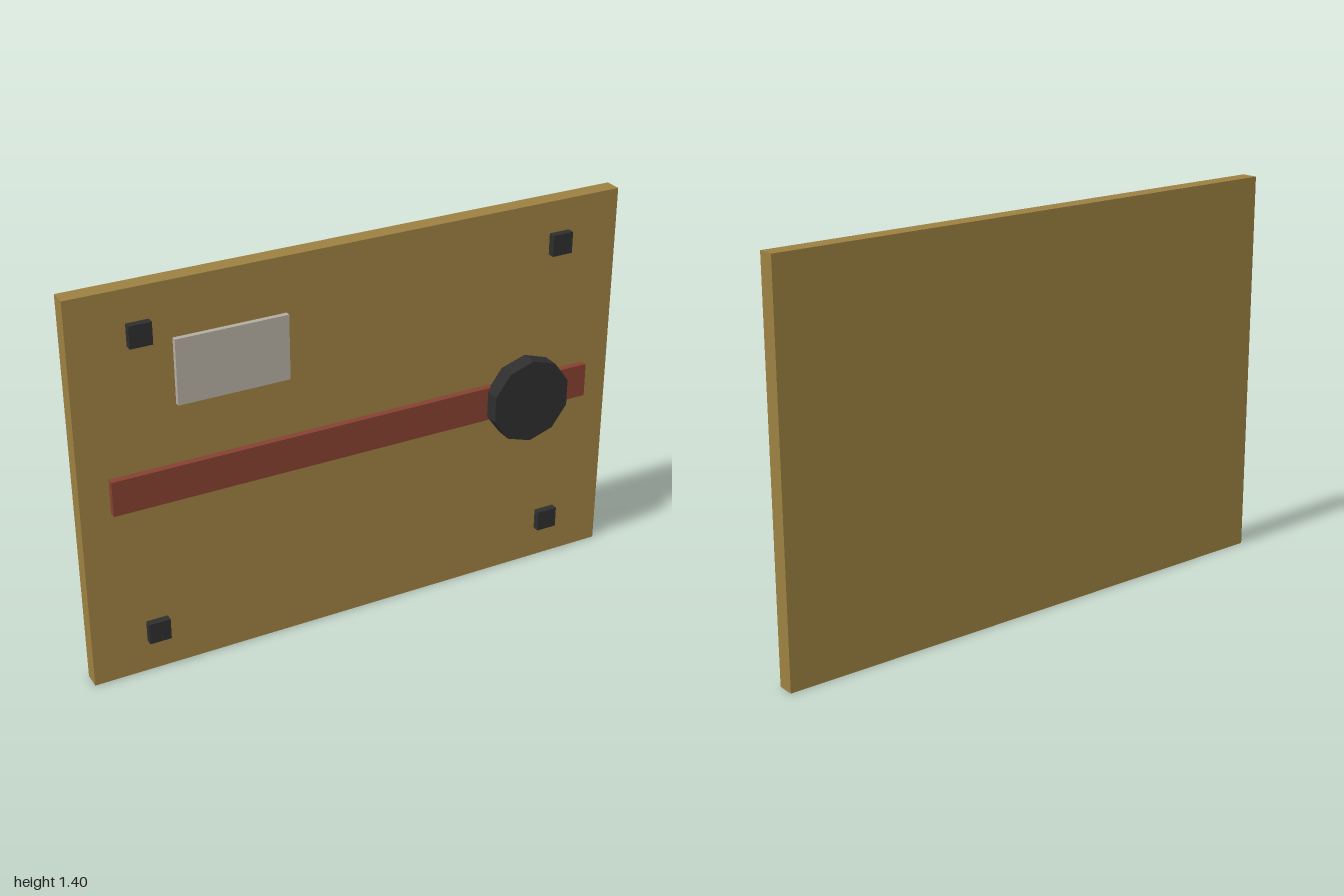
import * as THREE from 'three';

const material = (name, color, flatShading = false) => {
  const m = new THREE.MeshStandardMaterial({ color });
  m.name = name;
  m.flatShading = flatShading;
  return m;
};

export function createModel() {
  const group = new THREE.Group();
  group.name = 'wallPanel';

  const ochre = material('ochre', 0x9c8041);
  const rust = material('rust red', 0x86402f);
  const pale = material('pale grey', 0xb3aca0);
  const black = material('charcoal', 0x2e2e2e, true);

  const faceZ = -0.008; // front face of the board

  // Box given by its centre in x and y, its size, and its back and front in z
  const slab = (name, mat, x, y, w, h, back, front) => {
    const mesh = new THREE.Mesh(new THREE.BoxGeometry(w, h, front - back), mat);
    mesh.position.set(x, y, (back + front) / 2);
    mesh.name = name;
    group.add(mesh);
  };

  // Board
  slab('board', ochre, 0, 0.7025, 2, 1.405, -0.069, faceZ);

  // Horizontal rail and label plate
  slab('rail', rust, 0, 0.705, 1.794, 0.125, faceZ, 0.016);
  slab('labelPlate', pale, -0.459, 1.095, 0.392, 0.23, faceZ, 0.01);

  // Square bolts in the corners
  for (const x of [-0.767, 0.767])
    for (const y of [0.158, 1.252])
      slab('cornerBolt', black, x, y, 0.077, 0.077, faceZ, 0.018);

  // Ten-sided knob on the rail
  const knob = new THREE.Mesh(new THREE.CylinderGeometry(0.155, 0.155, 0.06, 10), black);
  knob.rotation.x = Math.PI / 2;
  knob.position.set(0.638, 0.705, 0.039);
  knob.name = 'knob';
  group.add(knob);

  return group;
}
